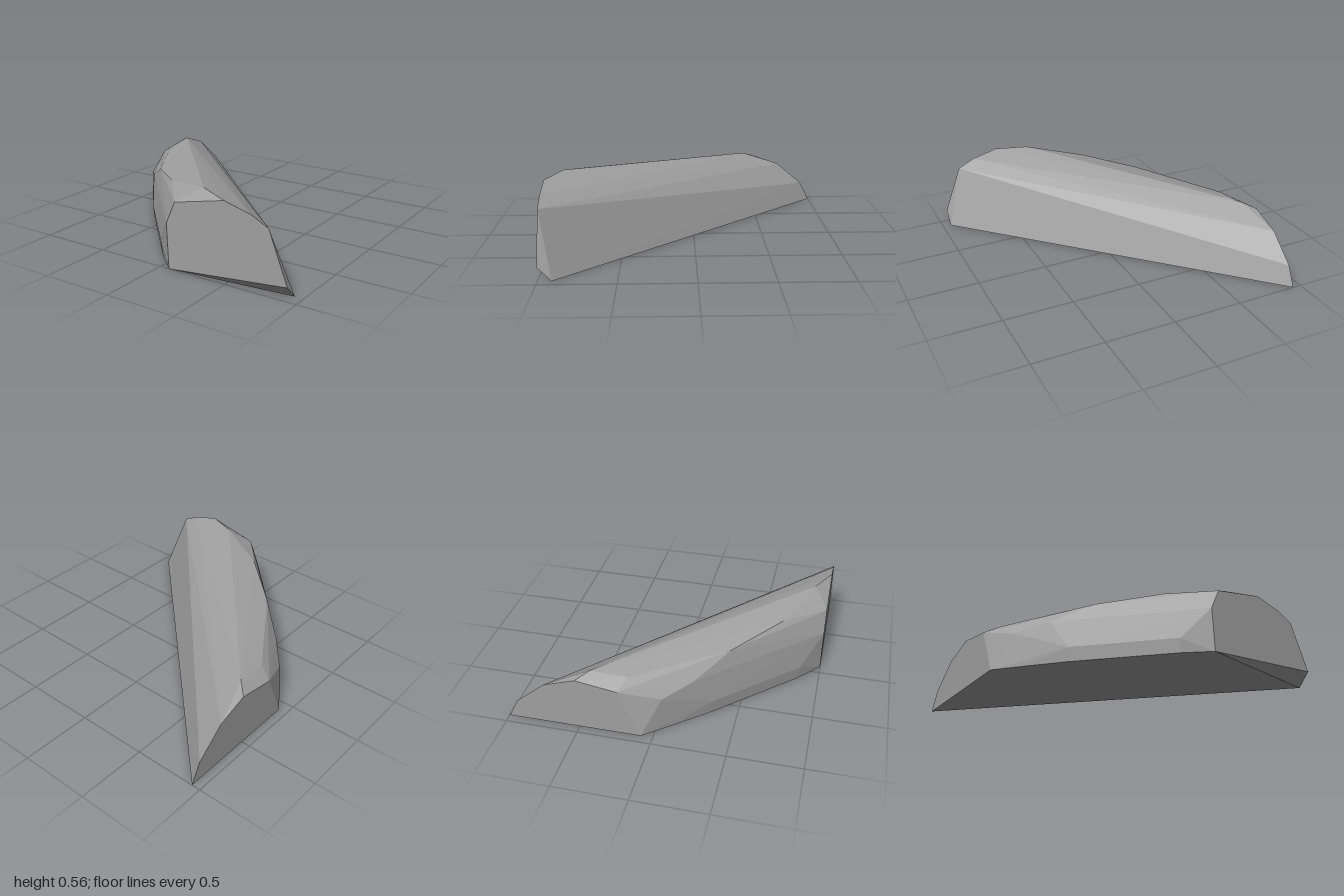
import * as THREE from 'three';
import { ConvexGeometry } from 'three/addons/geometries/ConvexGeometry.js';

const stone = new THREE.MeshStandardMaterial({ color: 0xa0a0a0 });
stone.name = 'stone grey';

// Cut end on the plane x = -0.94, as [z, y]
const leftCut = [[-1, 0], [-0.93, 0.14], [-0.73, 0.31], [-0.51, 0.385], [-0.23, 0.34], [-0.08, 0]];

// Cut end on the plane z = 1, as [x, y]
const frontCut = [[0.07, 0], [0.06, 0.31], [0.13, 0.46], [0.5, 0.54], [0.69, 0.49], [0.81, 0.43], [0.94, 0.09]];

// Corners between the two cuts, as [x, y, z]
const ridge = [[-0.86, 0.42, -0.43], [0.28, 0.555, 0.9]];
const shoulder = [[-0.84, 0.395, -0.18], [-0.45, 0.43, 0.42], [-0.11, 0.485, 0.72]];
const bulge = [[-0.84, 0.25, 0.04], [-0.68, 0.31, 0.22], [-0.6, 0.1, 0.34], [-0.1, 0.1, 0.865]];
const base = [[-0.8, 0, 0.09], [-0.6, 0, 0.325], [-0.1, 0, 0.85], [0.94, 0, 0.91]];

export function createModel() {
  const corners = [
    ...leftCut.map(([z, y]) => [-0.94, y, z]),
    ...frontCut.map(([x, y]) => [x, y, 1]),
    ...ridge, ...shoulder, ...bulge, ...base,
  ].map((p) => new THREE.Vector3(...p));

  // Faceted boulder wrapped around its corners
  const boulder = new THREE.Mesh(new ConvexGeometry(corners), stone);
  boulder.name = 'boulder';

  const group = new THREE.Group();
  group.name = 'rock';
  group.add(boulder);
  return group;
}
